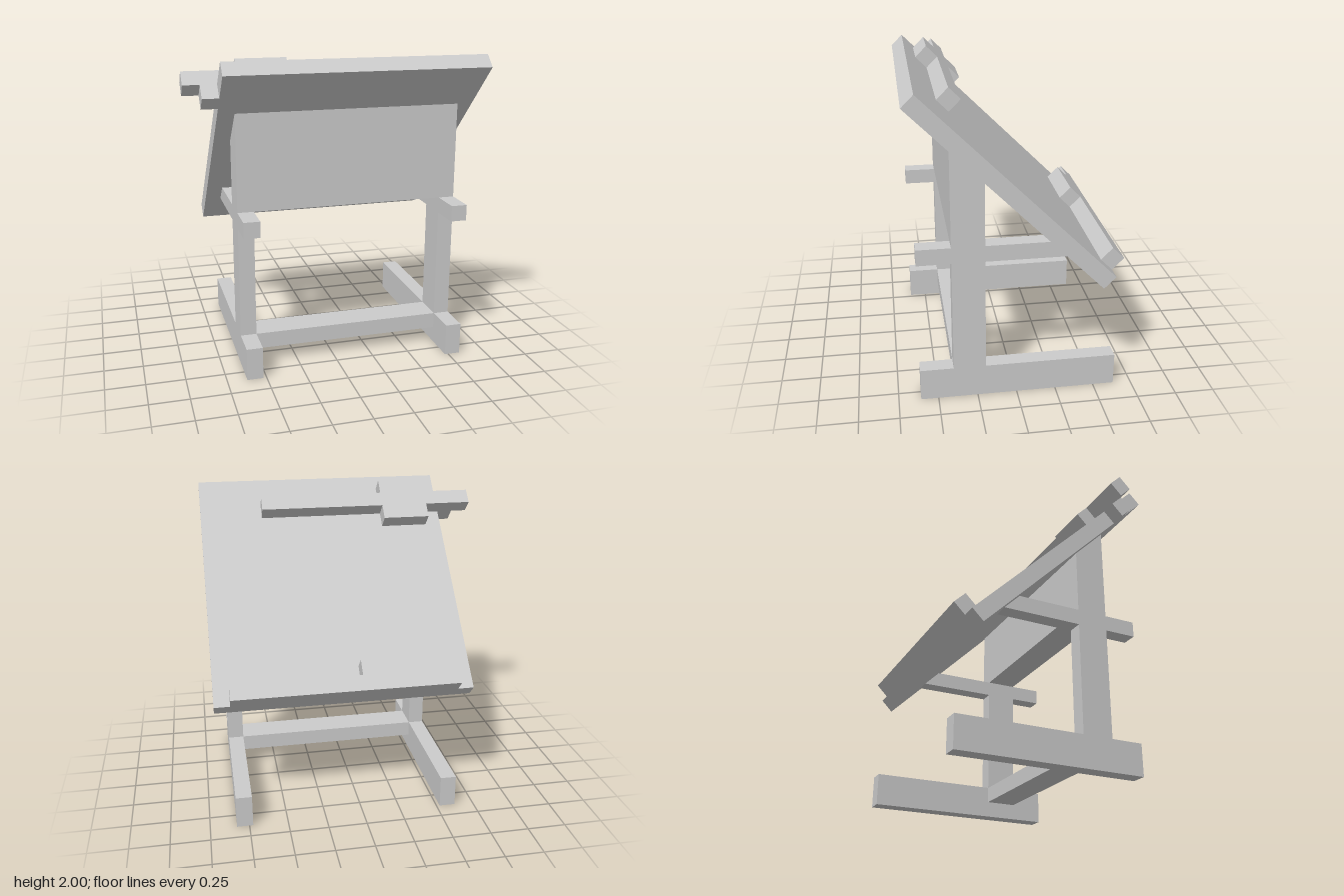
import * as THREE from 'three';

const material = new THREE.MeshStandardMaterial({ color: 0xcccccc, flatShading: true });

function extrude(points, depth) {
  const shape = new THREE.Shape(points.map(([a, b]) => new THREE.Vector2(a, b)));
  return new THREE.ExtrudeGeometry(shape, { depth, bevelEnabled: false });
}

function addMesh(parent, name, geometry) {
  const mesh = new THREE.Mesh(geometry, material);
  mesh.name = name;
  parent.add(mesh);
}

// Side outline of [z, y] points, extruded from x0 to x1
function sideProfile(points, x0, x1) {
  return extrude(points, x1 - x0).rotateY(-Math.PI / 2).translate(x1, 0, 0);
}

// Flat plate in board space: [x, distance down the slope], resting at height h
function plate(points, h, thickness) {
  return extrude(points, thickness).rotateX(-Math.PI / 2).translate(0, h, 0);
}

const rect = (x0, x1, d0, d1) => [[x0, d0], [x1, d0], [x1, d1], [x0, d1]];

export function createModel() {
  const model = new THREE.Group();
  model.name = 'draftingTable';
  const t = 0.1035; // common board thickness
  const xMin = -0.625, xMax = 0.83;

  // Side frames: foot, post and arm cut off by the sloping board
  const frame = [
    [-0.635, 0], [0.61, 0], [0.61, 0.21], [0.4, 0.21], [0.4, 0.94], [0.61, 0.94],
    [0.61, 1.043], [-0.225, 1.043], [-0.328, 0.94], [0.197, 0.94], [0.197, 0.21], [-0.635, 0.21],
  ];
  addMesh(model, 'rightSideFrame', sideProfile(frame, xMin, xMin + t));
  addMesh(model, 'leftSideFrame', sideProfile(frame, xMax - t, xMax));

  // Upper panel between board and arms, and the low stretcher
  const panel = [[0.197, 1.043], [0.4, 1.043], [0.4, 1.668], [0.197, 1.465]];
  addMesh(model, 'upperPanel', sideProfile(panel, xMin, xMax));
  const stretcher = [[0.197, 0.105], [0.4, 0.105], [0.4, 0.21], [0.197, 0.21]];
  addMesh(model, 'stretcher', sideProfile(stretcher, xMin + t, xMax - t));

  // Tilted board: origin at the high edge of its drawing surface
  const top = new THREE.Group();
  top.name = 'tiltedTop';
  top.position.set(0, 2, 0.587);
  top.rotation.x = -Math.PI / 4;
  model.add(top);
  addMesh(top, 'drawingBoard', plate(rect(-0.73, 0.93, 0, 16 * t), -t, t));

  // T-square: long blade with a wide head, and a stop beside the board
  const ruler = [
    [-0.935, 2 * t], [-0.625, 2 * t], [-0.625, t], [-0.312, t], [-0.312, 2 * t], [0.518, 2 * t],
    [0.518, 3 * t], [-0.312, 3 * t], [-0.312, 4 * t], [-0.625, 4 * t], [-0.625, 3 * t], [-0.935, 3 * t],
  ];
  addMesh(top, 'ruler', plate(ruler, 0, t));
  addMesh(top, 'rulerStop', plate(rect(-0.832, -0.73, 2 * t, 3 * t), -t, t));

  // Pencil ledge with a raised tab along the low edge
  const ledge = [
    [xMin, 15 * t], [-0.415, 15 * t], [-0.415, 14 * t], [0, 14 * t], [0, 15 * t],
    [xMax, 15 * t], [xMax, 16 * t], [xMin, 16 * t],
  ];
  addMesh(top, 'pencilLedge', plate(ledge, 0, t));

  return model;
}
